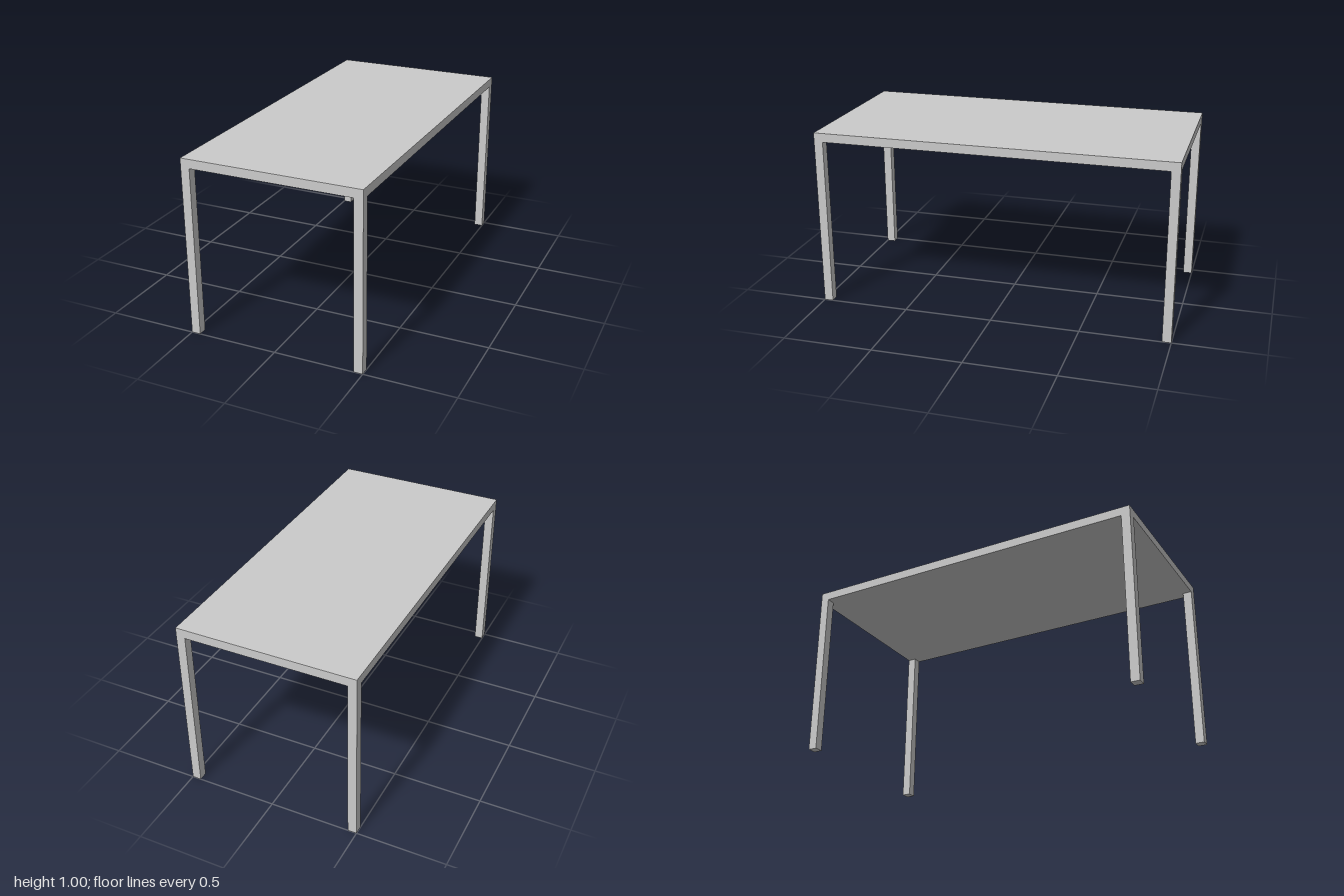
import * as THREE from 'three';

const WIDTH = 1, HEIGHT = 1, LENGTH = 2, THICK = 0.05;

export function createModel() {
  const group = new THREE.Group();
  group.name = 'table';
  const material = new THREE.MeshStandardMaterial({ color: 0xcccccc });

  const addBox = (name, size, position) => {
    const mesh = new THREE.Mesh(new THREE.BoxGeometry(...size), material);
    mesh.name = name;
    mesh.position.set(...position);
    group.add(mesh);
  };

  // Flat slab top
  addBox('tableTop', [WIDTH, THICK, LENGTH], [0, HEIGHT - THICK / 2, 0]);

  // Square legs, flush with the corners of the top
  const legHeight = HEIGHT - THICK;
  for (const [side, sx] of [['Left', 1], ['Right', -1]]) {
    for (const [end, sz] of [['front', 1], ['back', -1]]) {
      addBox(`${end}${side}Leg`, [THICK, legHeight, THICK],
        [sx * (WIDTH - THICK) / 2, legHeight / 2, sz * (LENGTH - THICK) / 2]);
    }
  }

  return group;
}
